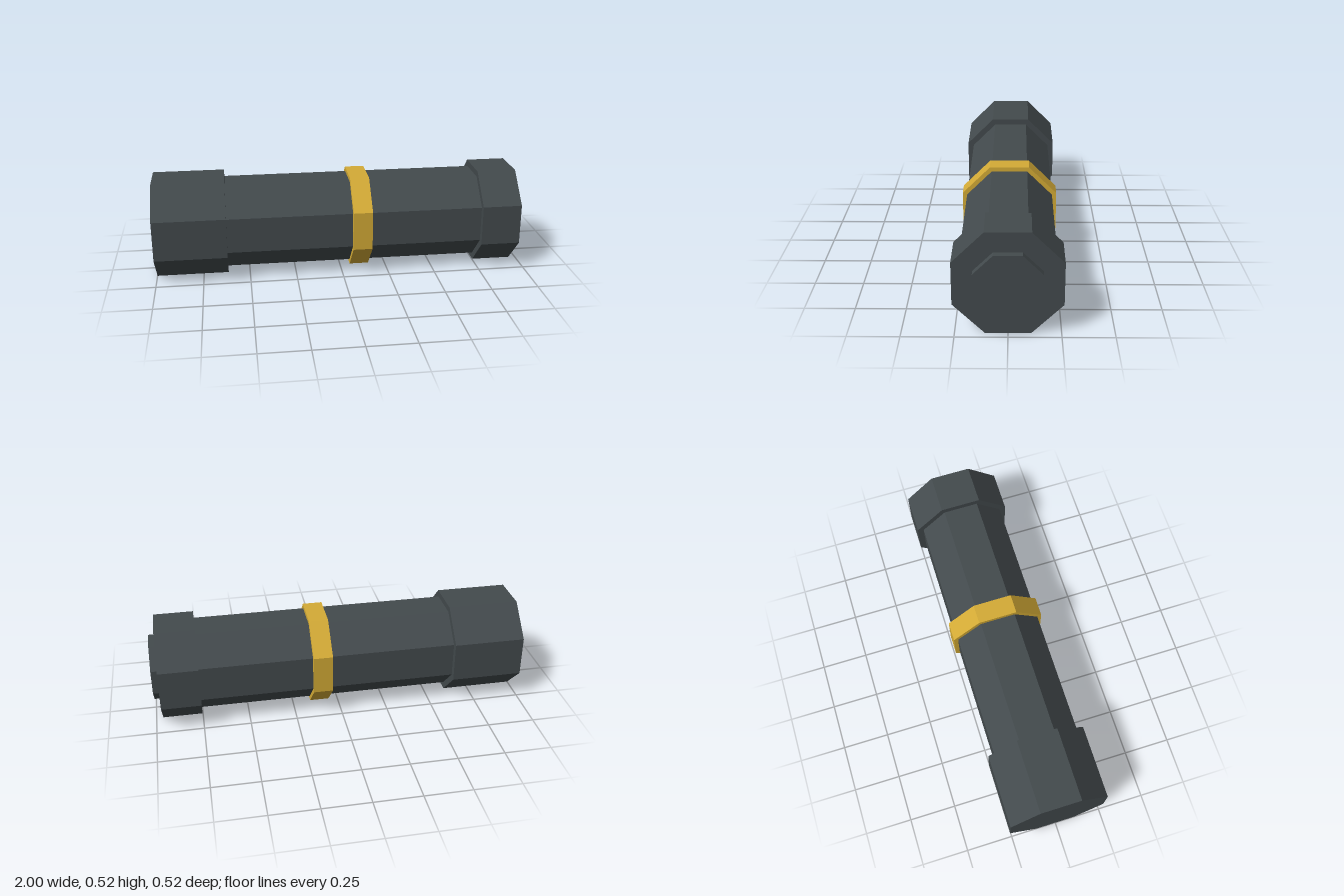
import * as THREE from 'three';

export function createModel() {
  const model = new THREE.Group();
  model.name = 'octagonalCanister';

  const gunmetal = new THREE.MeshStandardMaterial({ color: 0x434a4d, flatShading: true });
  gunmetal.name = 'gunmetal';
  const gold = new THREE.MeshStandardMaterial({ color: 0xd4ab36, flatShading: true });
  gold.name = 'gold';

  // Octagonal prism along x; halfWidth is measured to the flats
  function prism(name, x0, x1, halfWidth, material) {
    const r = halfWidth / Math.cos(Math.PI / 8);
    const geometry = new THREE.CylinderGeometry(r, r, x1 - x0, 8, 1, false, Math.PI / 8);
    geometry.rotateZ(-Math.PI / 2);
    const mesh = new THREE.Mesh(geometry, material);
    mesh.name = name;
    mesh.position.set((x0 + x1) / 2, 0.26, 0);
    model.add(mesh);
  }

  prism('rearCap', -1, -0.617, 0.26, gunmetal);
  prism('body', -0.617, 0.753, 0.227, gunmetal);
  prism('band', 0.052, 0.155, 0.25, gold);
  prism('headCap', 0.753, 0.964, 0.26, gunmetal);
  prism('tip', 0.964, 1, 0.162, gunmetal);

  return model;
}
